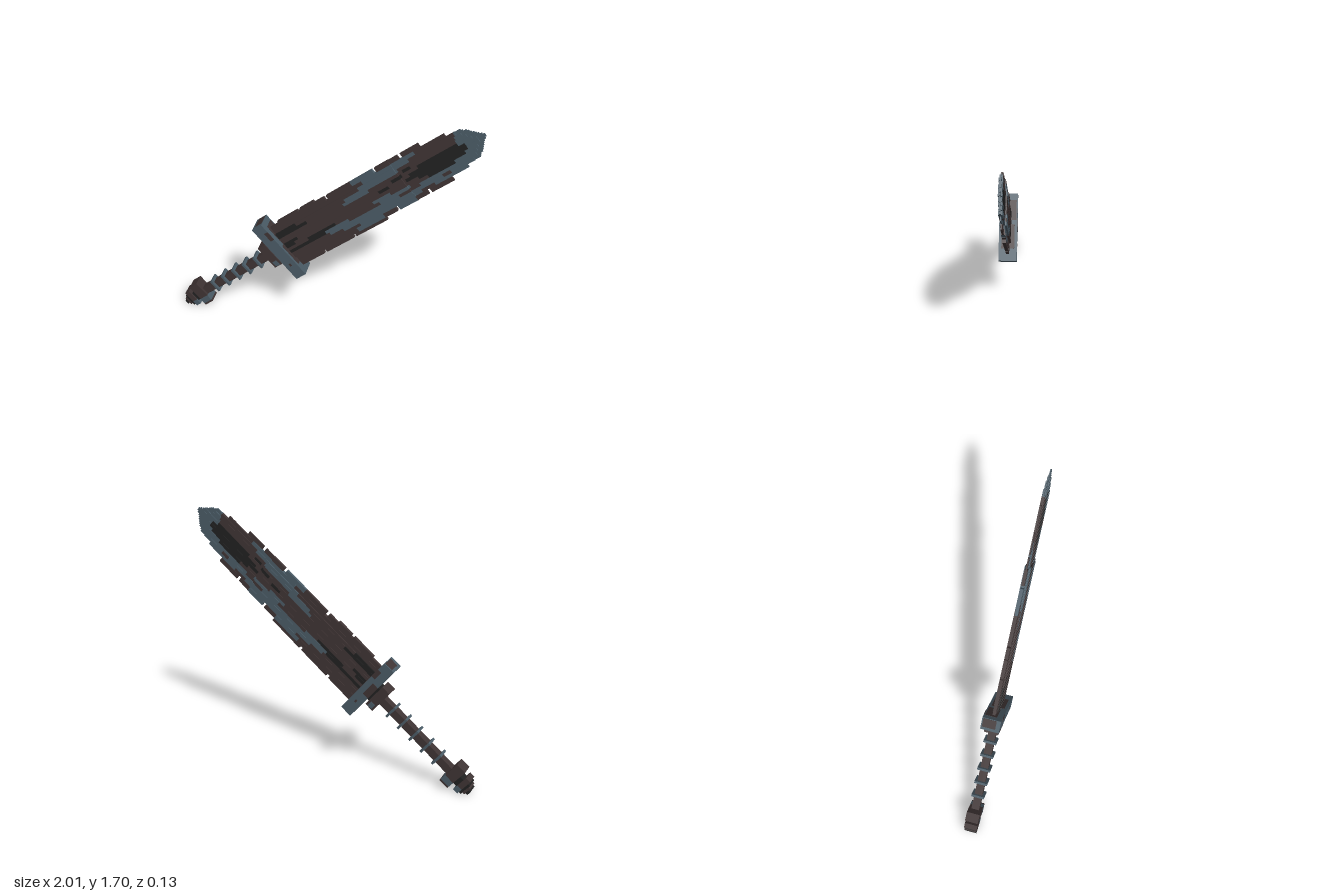
import * as THREE from 'three';

const mat = (name, color) => Object.assign(new THREE.MeshStandardMaterial({ color }), { name });

export function createModel() {
  const model = new THREE.Group();
  model.name = 'sword';
  const s = mat('slate steel', 0x4a5b66);
  const n = mat('brown rust', 0x3f3434);
  const k = mat('charcoal', 0x212121);
  const mats = { s, n, k };

  // Local frame: x runs from pommel to tip, y across the blade, z through it
  const sword = new THREE.Group();
  sword.name = 'tiltedSword';
  sword.rotation.z = THREE.MathUtils.degToRad(40);
  sword.position.y = 0.85;
  model.add(sword);

  const box = (name, m, u0, u1, v0, v1, z, zc = 0) => {
    const mesh = new THREE.Mesh(new THREE.BoxGeometry(u1 - u0, v1 - v0, 2 * z), m);
    mesh.position.set((u0 + u1) / 2, (v0 + v1) / 2, zc);
    mesh.name = name;
    sword.add(mesh);
  };

  // Blade rows from upper to lower edge: colour key then where it ends ('-' is a notch)
  const rows = [
    [0.16, 0.18, '-', -0.24, 'n', -0.06, '-', -0.04, 'n', 0.08],
    [0.135, 0.166, 'n', 0.16, '-', 0.18, 'n', 0.38, 's', 0.56, '-', 0.58, 'n', 0.76, '-', 0.78, 'n', 0.92],
    [0.11, 0.135, 'n', 0.45, 's', 0.86, 'n', 1.09],
    [0.088, 0.11, 'k', -0.14, 'n', 0.4, 's', 0.8, 'n', 1.14, 's', 1.19],
    [0.066, 0.088, 'k', -0.06, 'n', 0.27, 's', 0.7, 'n', 1.13, 's', 1.22],
    [0.044, 0.066, 'n', 0.24, 's', 0.45, 'n', 0.72, 'k', 0.78, 'n', 1.12, 's', 1.24],
    [0.022, 0.044, 'n', 0.62, 'k', 0.7, 'n', 0.82, 'k', 1.12, 's', 1.26],
    [0, 0.022, 'k', -0.2, 'n', 0.5, 'k', 0.58, 'n', 0.74, 'k', 1.16, 's', 1.285],
    [-0.022, 0, 'k', -0.24, 'n', 0.7, 'k', 1.16, 's', 1.285],
    [-0.044, -0.022, 'n', -0.14, 'k', 0.1, 'n', 0.42, 's', 0.56, 'n', 0.78, 'k', 1.13, 's', 1.26],
    [-0.066, -0.044, 'k', 0, 's', 0.2, 'n', 0.46, 's', 0.7, 'n', 0.84, 'k', 1.04, 's', 1.24],
    [-0.088, -0.066, 'n', 0.02, 's', 0.6, 'n', 0.76, 's', 1.22],
    [-0.11, -0.088, 'n', 0.12, 's', 0.92, 'n', 0.98, 's', 1.19],
    [-0.135, -0.11, 'n', 0.24, 's', 0.74, 'n', 0.84, 's', 1.09],
    [-0.166, -0.135, 'n', 0.2, 's', 0.42, 'n', 0.52, '-', 0.54, 's', 0.68, 'n', 0.77, '-', 0.79, 'n', 0.96],
    [-0.188, -0.16, 'n', -0.12, '-', -0.1, 'n', 0.14, '-', 0.16, 'n', 0.42],
  ];
  rows.forEach(([v0, v1, ...segs], i) => {
    const end = segs[segs.length - 1];
    const outer = Math.abs(v0 + v1) / 2 > 0.12;
    const seam = (i % 2) * 0.002;
    // Thickness steps down towards the tip and the cutting edges
    const zones = [
      [-0.33, 0.685, outer ? 0.012 : 0.021],
      [0.685, end - 0.04, outer ? 0.006 : 0.012],
      [end - 0.04, end, 0.005],
    ];
    let u = -0.33;
    for (let j = 0; j < segs.length; j += 2) {
      const [key, stop] = [segs[j], segs[j + 1]];
      for (const [a, b, z] of zones) {
        const u0 = Math.max(u, a), u1 = Math.min(stop, b);
        if (key !== '-' && u1 - u0 > 0.001) box('bladePlank', mats[key], u0, u1, v0, v1, z - seam);
      }
      u = stop;
    }
    // Fine saw-tooth at the point
    if (!outer) {
      const inner = Math.min(Math.abs(v0), Math.abs(v1)), side = Math.sign(v0 + v1);
      const a = side * inner, b = side * (inner + 0.011);
      box('tipTooth', s, end - 0.002, end + 0.011, Math.min(a, b), Math.max(a, b), 0.004);
    }
  });

  // Cross guard with rust patches on its faces
  box('guard', s, -0.405, -0.32, -0.235, 0.235, 0.063);
  box('guardRustTop', n, -0.4, -0.318, 0.05, 0.19, 0.04, -0.015);
  box('guardRustBottom', n, -0.38, -0.318, -0.15, 0.02, 0.045);
  box('guardRustEnd', n, -0.385, -0.325, 0.233, 0.237, 0.045, -0.01);
  for (const side of [1, -1]) {
    box('guardRustPatch', n, -0.35, -0.32, 0.1, 0.17, 0.002, side * 0.063);
    box('guardRustPatch', n, -0.37, -0.355, -0.13, -0.11, 0.002, side * 0.063);
  }
  box('guardRustBack', n, -0.405, -0.36, -0.04, 0.07, 0.002, -0.063);

  // Collar behind the guard
  box('collar', n, -0.485, -0.42, -0.09, 0.093, 0.05);
  box('collarNeck', k, -0.422, -0.403, -0.06, 0.06, 0.04);
  for (const side of [1, -1]) box('collarPatch', s, -0.47, -0.435, -0.085, -0.045, 0.002, side * 0.05);

  // Grip with five rings
  box('grip', n, -1.12, -0.48, -0.027, 0.027, 0.027);
  box('gripUnderside', k, -1.12, -0.48, -0.029, -0.026, 0.025);
  for (let i = 0; i < 5; i++) {
    const u = -0.575 - i * 0.106;
    box('gripRing', s, u - 0.008, u + 0.008, -0.047, 0.047, 0.045);
  }

  // Pommel: crossbar and stepped end
  box('pommelBar', n, -1.182, -1.11, -0.03, 0.089, 0.046);
  box('pommelBarLower', s, -1.182, -1.11, -0.075, -0.03, 0.046);
  box('pommelBarFoot', n, -1.182, -1.11, -0.089, -0.075, 0.046);
  box('pommelNeck', k, -1.22, -1.18, -0.035, 0.035, 0.035);
  box('pommelCap', n, -1.25, -1.212, -0.02, 0.066, 0.045);
  box('pommelCapLower', s, -1.25, -1.212, -0.062, -0.02, 0.045);
  for (let i = 0; i < 3; i++) {
    const h = 0.046 - i * 0.015;
    box('pommelStep', i % 2 ? n : k, -1.267 - i * 0.016, -1.249 - i * 0.016, -h, h, 0.044);
  }
  return model;
}
